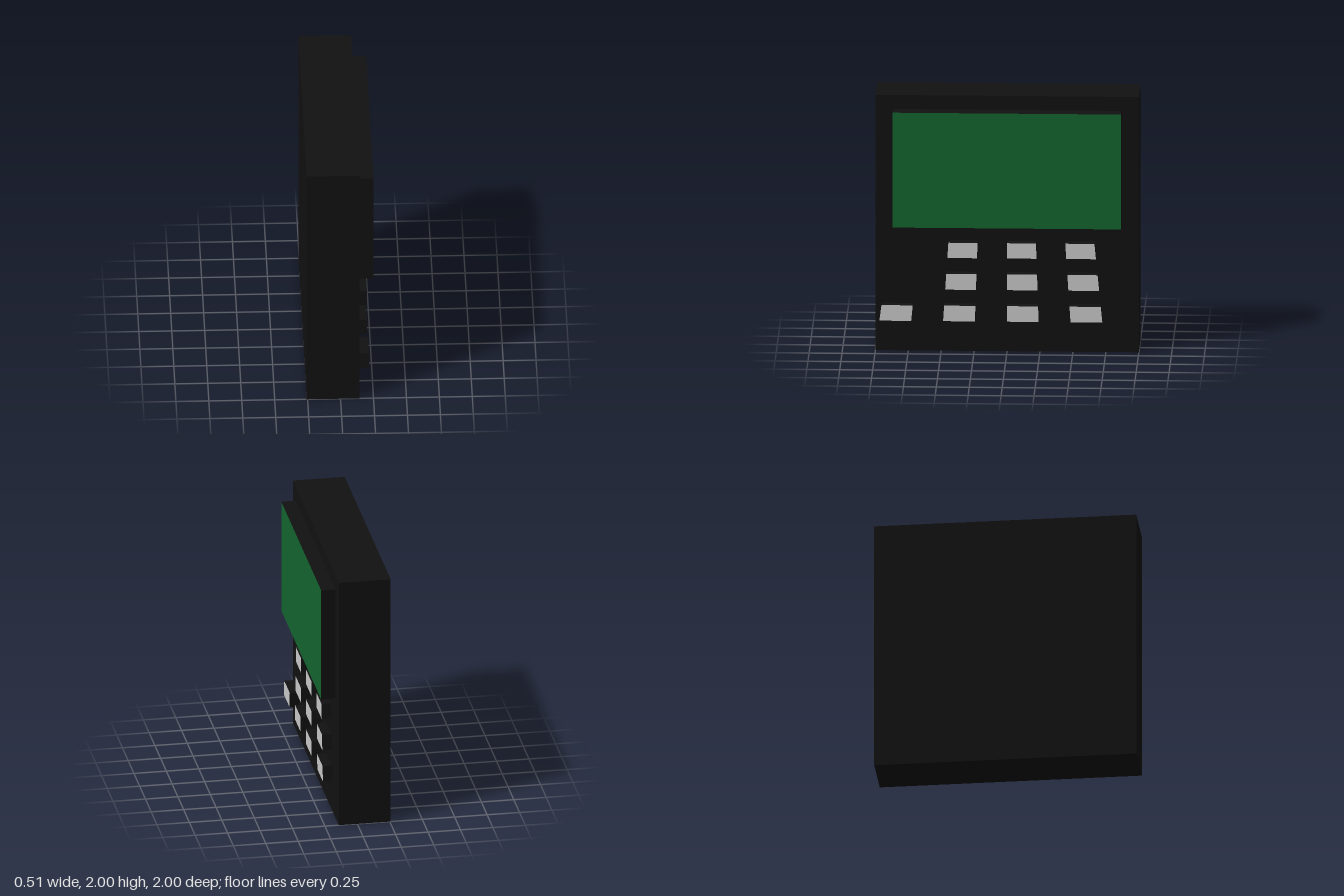
import * as THREE from 'three';

const paint = (color) => new THREE.MeshStandardMaterial({ color });

export function createModel() {
  const group = new THREE.Group();
  const black = paint(0x111111), green = paint(0x136630), grey = paint(0xcccccc);
  const faceX = 0.143; // plane that carries the screen and keys

  const addBox = (name, x0, x1, y0, y1, halfZ, material) => {
    const mesh = new THREE.Mesh(new THREE.BoxGeometry(x1 - x0, y1 - y0, halfZ * 2), material);
    mesh.position.set((x0 + x1) / 2, (y0 + y1) / 2, 0);
    mesh.name = name;
    group.add(mesh);
  };

  // Slab body, and raised screen with a green face and black rim
  addBox('body', -0.257, faceX, 0, 2, 1, black);
  addBox('screen', faceX, 0.255, 0.99, 1.89, 0.867, [green, black, black, black, black, black]);

  // Keys: columns fan out towards the bottom, so each key is a slanted quad
  const columnWidth = (y) => 0.25 - 0.0325 * y;
  const keys = new THREE.Group();
  keys.name = 'keypad';
  const rows = [
    { y0: 0.745, y1: 0.865, columns: [-2, 0, 2] },
    { y0: 0.497, y1: 0.62, columns: [-2, 0, 2] },
    { y0: 0.25, y1: 0.372, columns: [-4, -2, 0, 2] },
  ];
  rows.forEach(({ y0, y1, columns }, r) => columns.forEach((c) => {
    const shape = new THREE.Shape([
      new THREE.Vector2(c * columnWidth(y0), y0),
      new THREE.Vector2((c + 1) * columnWidth(y0), y0),
      new THREE.Vector2((c + 1) * columnWidth(y1), y1),
      new THREE.Vector2(c * columnWidth(y1), y1),
    ]);
    const geometry = new THREE.ExtrudeGeometry(shape, { depth: 0.074, bevelEnabled: false });
    const key = new THREE.Mesh(geometry, [grey, black]);
    key.rotation.y = Math.PI / 2; // extrude along +x
    key.position.x = faceX;
    key.name = `keyRow${r + 1}Column${c / 2 + 3}`;
    keys.add(key);
  }));
  group.add(keys);
  return group;
}
